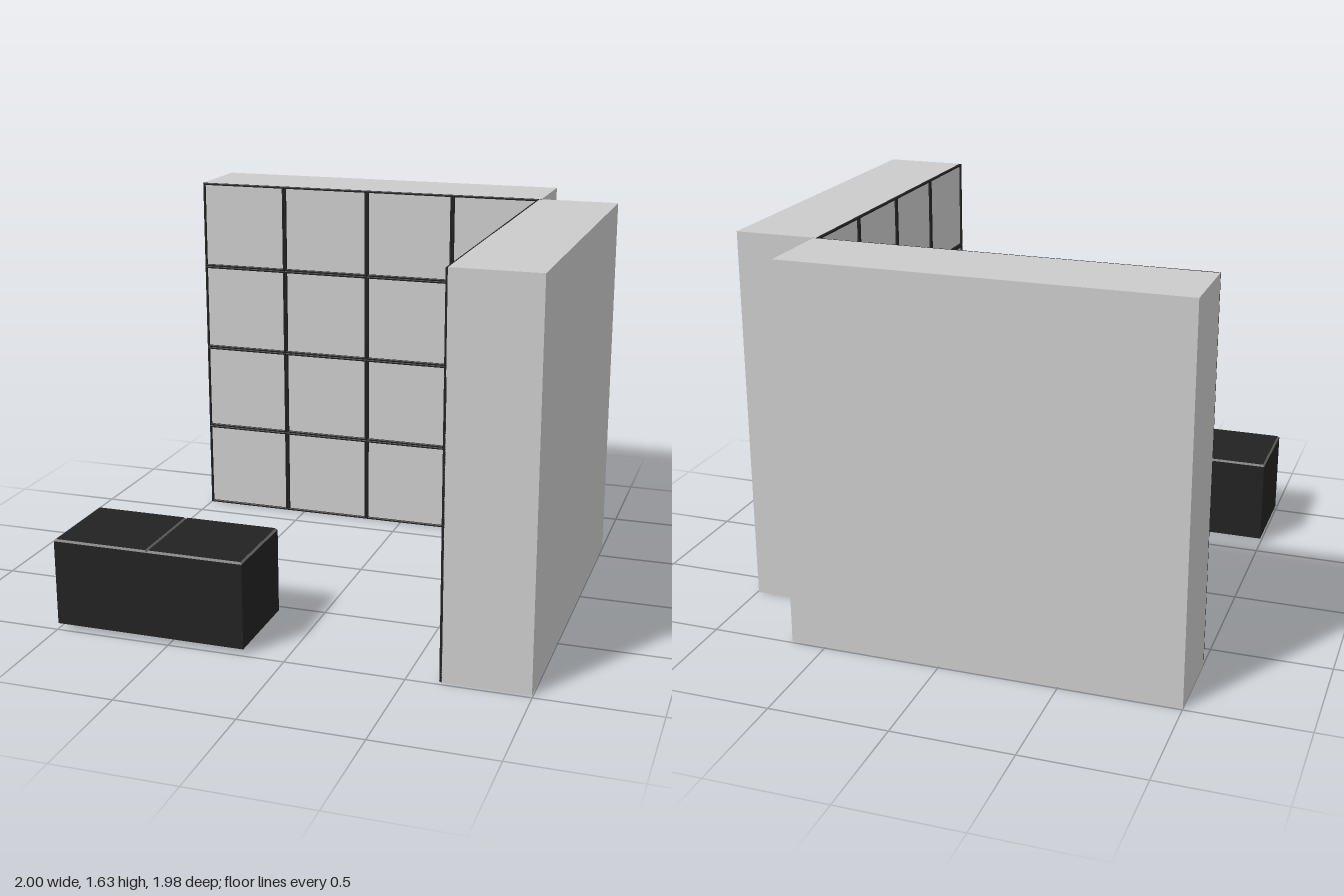
import * as THREE from 'three';

const grey = new THREE.MeshStandardMaterial({ color: 0xcccccc });
const dark = new THREE.MeshStandardMaterial({ color: 0x222222 });
const trim = new THREE.MeshStandardMaterial({ color: 0x666666 });

const H = 1.626;      // wall height
const DEPTH = 0.355;  // wall thickness
const N = 4;          // tiles per row and column

function add(parent, name, geometry, material, x, y, z) {
  const mesh = new THREE.Mesh(geometry, material);
  mesh.name = name;
  mesh.position.set(x, y, z);
  parent.add(mesh);
  return mesh;
}

// Thin border round one tile, with chamfered edges
function tileFrame(w, h) {
  const rect = (s, a, b) => s.moveTo(-a, -b).lineTo(a, -b).lineTo(a, b).lineTo(-a, b).closePath();
  const shape = rect(new THREE.Shape(), w / 2, h / 2);
  shape.holes.push(rect(new THREE.Path(), w / 2 - 0.01, h / 2 - 0.01));
  return new THREE.ExtrudeGeometry(shape, {
    depth: 0.008, bevelEnabled: true, bevelSegments: 1,
    bevelThickness: 0.003, bevelSize: 0.003, bevelOffset: -0.003,
  });
}

// Wall slab whose tiled face lies at local z = 0
function wall(name, width) {
  const g = new THREE.Group();
  g.name = name;
  add(g, 'slab', new THREE.BoxGeometry(width, H, DEPTH), grey, 0, H / 2, -DEPTH / 2);
  const w = width / N, h = H / N;
  const frame = tileFrame(w, h);
  for (let i = 0; i < N; i++) {
    for (let j = 0; j < N; j++) {
      add(g, 'tileFrame', frame, dark, (i + 0.5) * w - width / 2, (j + 0.5) * h, -0.002);
    }
  }
  return g;
}

// Square frustum forming the chamfered rim of a bench top
function chamfer(w, h, d, inset) {
  const geo = new THREE.BoxGeometry(w, h, d);
  const p = geo.attributes.position;
  for (let i = 0; i < p.count; i++) {
    if (p.getY(i) > 0) {
      p.setX(i, p.getX(i) - Math.sign(p.getX(i)) * inset);
      p.setZ(i, p.getZ(i) - Math.sign(p.getZ(i)) * inset);
    }
  }
  geo.computeVertexNormals();
  return geo;
}

export function createModel() {
  const model = new THREE.Group();
  model.name = 'tiledCorner';

  // Two walls meeting at a corner
  const back = wall('backWall', 1.65);
  back.position.set(-0.175, 0, -0.635);
  const side = wall('sideWall', 1.61);
  side.rotation.y = -Math.PI / 2;
  side.position.set(0.64, 0, 0.175);
  model.add(back, side);

  // Low double bench, raised slightly off the ground
  const bench = new THREE.Group();
  bench.name = 'bench';
  const w = 0.412, d = 0.403, top = 0.387;
  add(bench, 'benchBody', new THREE.BoxGeometry(2 * w, top - 0.024, d), dark, 0, (top + 0.024) / 2, 0);
  for (const s of [-1, 1]) {
    add(bench, 'benchRim', chamfer(w, 0.008, d, 0.008), trim, s * w / 2, top + 0.004, 0);
    add(bench, 'benchTop', new THREE.BoxGeometry(w - 0.016, 0.002, d - 0.016), dark, s * w / 2, top + 0.0085, 0);
  }
  bench.position.set(-0.588, 0, 0.7885);
  model.add(bench);
  return model;
}
